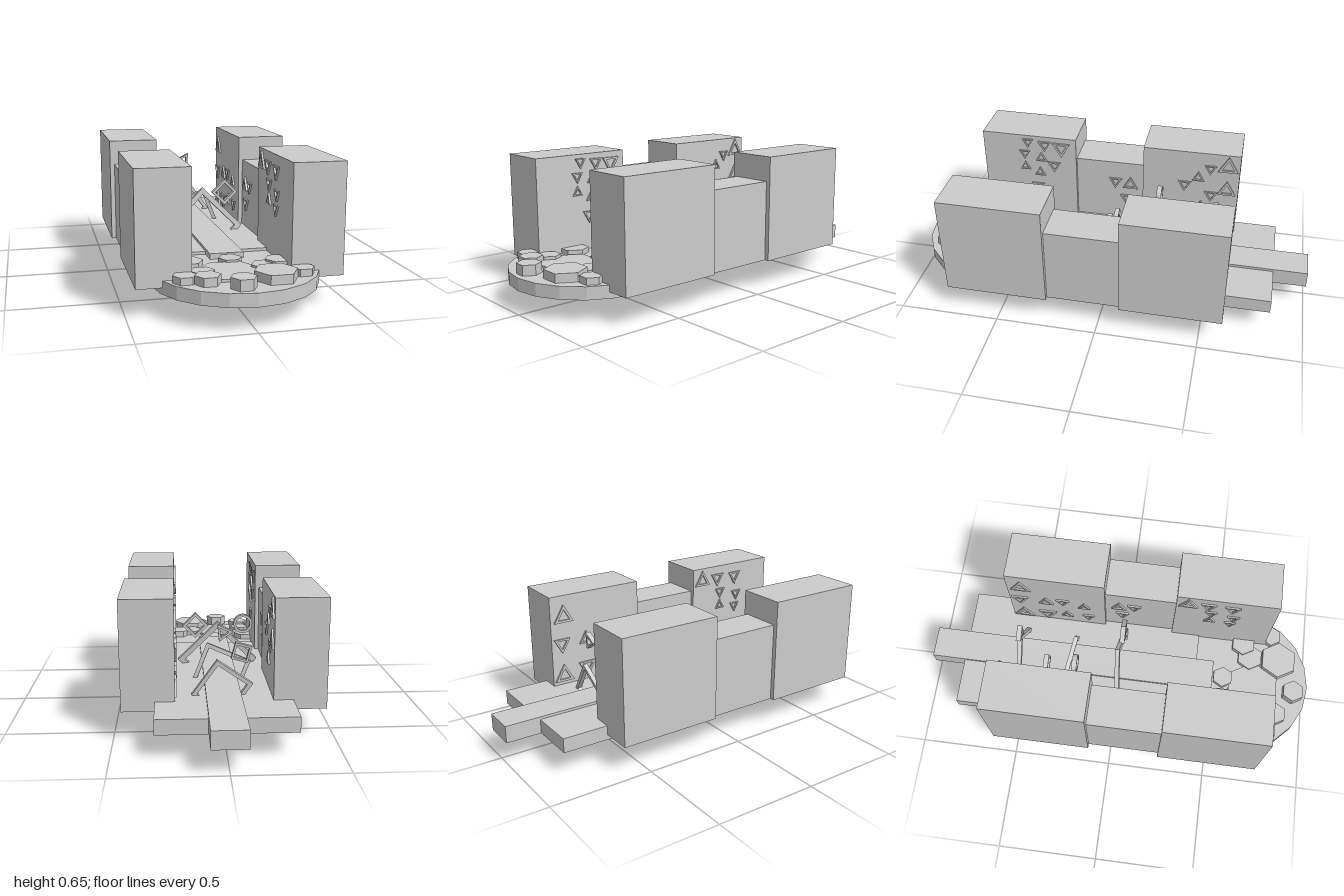
import * as THREE from 'three';

const mat = new THREE.MeshStandardMaterial({ color: 0xcccccc, flatShading: true });

export function createModel() {
  const model = new THREE.Group();

  const add = (name, geometry, x, y, z, parent = model) => {
    const mesh = new THREE.Mesh(geometry, mat);
    mesh.name = name;
    mesh.position.set(x, y, z);
    parent.add(mesh);
    return mesh;
  };

  // Box given by its limits along each axis
  const block = (name, x0, x1, y0, y1, z0, z1) =>
    add(name, new THREE.BoxGeometry(x1 - x0, y1 - y0, z1 - z0),
      (x0 + x1) / 2, (y0 + y1) / 2, (z0 + z1) / 2);

  // Regular polygon outline, first corner at the given angle in degrees
  const polygon = (sides, radius, degrees) => {
    const points = [];
    for (let i = 0; i < sides; i++) {
      const a = THREE.MathUtils.degToRad(degrees) + (i / sides) * Math.PI * 2;
      points.push(new THREE.Vector2(Math.cos(a) * radius, Math.sin(a) * radius));
    }
    return points;
  };

  // Open polygon frame, centred on its depth
  const frame = (sides, outer, inner, depth, degrees) => {
    const shape = new THREE.Shape(polygon(sides, outer, degrees));
    shape.holes.push(new THREE.Path(polygon(sides, inner, degrees)));
    return new THREE.ExtrudeGeometry(shape, { depth, bevelEnabled: false }).translate(0, 0, -depth / 2);
  };

  // Floor, raised central walkway and round platform
  block('floor', -0.31, 0.31, 0.112, 0.182, -0.83, 0.4);
  block('walkway', -0.08, 0.08, 0.112, 0.195, -1, 0.49);
  add('roundPlatform', new THREE.CylinderGeometry(0.375, 0.375, 0.06, 20), 0, 0.138, 0.62);

  // Side walls: tall front and back blocks with a lower one between
  for (const side of [-1, 1]) {
    const wall = (name, inner, outer, top, z0, z1) =>
      block(name, Math.min(side * inner, side * outer), Math.max(side * inner, side * outer), 0.137, top, z0, z1);
    wall('frontWall', 0.22, 0.462, 0.647, 0.25, 0.755);
    wall('middleWall', 0.24, 0.44, 0.527, -0.11, 0.25);
    wall('backWall', 0.22, 0.462, 0.647, -0.61, -0.11);
  }

  // Hexagonal columns on the platform: x, z, radius, top
  const columns = [
    [-0.04, 0.705, 0.145, 0.18], [0, 0.545, 0.055, 0.19], [-0.04, 0.915, 0.057, 0.217],
    [0.125, 0.83, 0.097, 0.21], [0.26, 0.785, 0.053, 0.2], [0.13, 0.68, 0.07, 0.19],
    [0.2, 0.64, 0.065, 0.2], [-0.17, 0.83, 0.057, 0.207], [-0.26, 0.79, 0.053, 0.2],
    [-0.2, 0.57, 0.07, 0.195], [-0.17, 0.73, 0.055, 0.195],
  ];
  for (const [x, z, radius, top] of columns) {
    const geometry = new THREE.CylinderGeometry(radius, radius, top - 0.14, 6).rotateY(Math.PI / 6);
    add('hexColumn', geometry, x, (top + 0.14) / 2, z);
  }

  // Triangular relief on the inner wall faces: z, y, radius, direction
  const relief = (x, list) => {
    for (const [z, y, radius, up] of list) {
      const mesh = add('triangleRelief', frame(3, radius, radius * 0.62, 0.014, up * 90), x, y, z);
      mesh.rotation.y = Math.PI / 2;
    }
  };
  relief(-0.218, [
    [0.33, 0.59, 0.055, -1], [0.42, 0.6, 0.04, -1], [0.51, 0.61, 0.034, -1],
    [0.44, 0.52, 0.036, 1], [0.53, 0.54, 0.034, -1], [0.37, 0.48, 0.04, -1],
    [0.53, 0.46, 0.032, 1], [0.45, 0.43, 0.034, 1], [0.465, 0.34, 0.04, -1],
    [-0.55, 0.58, 0.06, 1], [-0.46, 0.56, 0.036, -1], [-0.55, 0.44, 0.055, 1],
    [-0.4, 0.5, 0.036, 1], [-0.33, 0.45, 0.04, -1], [-0.47, 0.4, 0.04, -1],
    [-0.42, 0.32, 0.04, 1],
  ]);
  relief(0.218, [
    [0.31, 0.58, 0.055, 1], [0.41, 0.58, 0.045, -1], [0.53, 0.575, 0.045, -1],
    [0.43, 0.5, 0.036, -1], [0.545, 0.47, 0.036, -1], [0.535, 0.4, 0.034, -1],
    [0.43, 0.42, 0.034, 1],
    [-0.54, 0.54, 0.06, 1], [-0.555, 0.4, 0.05, -1], [-0.55, 0.23, 0.06, 1],
    [-0.42, 0.4, 0.045, 1], [-0.42, 0.25, 0.055, -1], [-0.315, 0.27, 0.036, 1],
    [-0.33, 0.42, 0.04, -1], [-0.2, 0.27, 0.036, -1], [-0.22, 0.39, 0.036, 1],
  ]);
  for (const side of [-1, 1]) {
    relief(side * 0.237, [
      [0.04, 0.41, 0.04, -1], [-0.04, 0.4, 0.045, 1], [-0.02, 0.31, 0.04, -1],
    ]);
  }

  // Floating open frames above and through the walkway
  const float = (name, geometry, x, y, z, tiltX = 0, tiltY = 0) =>
    add(name, geometry, x, y, z).rotation.set(tiltX, tiltY, 0);
  float('largeSquareFrame', frame(4, 0.203, 0.167, 0.022, 90), 0, 0.203, 0.003, -0.1);
  float('middleSquareFrame', frame(4, 0.162, 0.134, 0.022, 67), 0, 0.205, -0.265, 0.12, -0.13);
  float('smallSquareFrame', frame(4, 0.142, 0.116, 0.022, 80), 0.005, 0.21, -0.52, -0.07);
  float('ringFrame', frame(16, 0.046, 0.034, 0.025, 0), -0.113, 0.44, -0.215);
  float('tiltedSquareFrame', frame(4, 0.058, 0.043, 0.025, 60), -0.095, 0.338, -0.37);
  float('triangleFrame', frame(3, 0.046, 0.026, 0.025, 55), 0, 0.472, -0.51);
  float('diamondFrame', frame(4, 0.066, 0.047, 0.025, 90), 0.112, 0.381, 0);

  return model;
}
